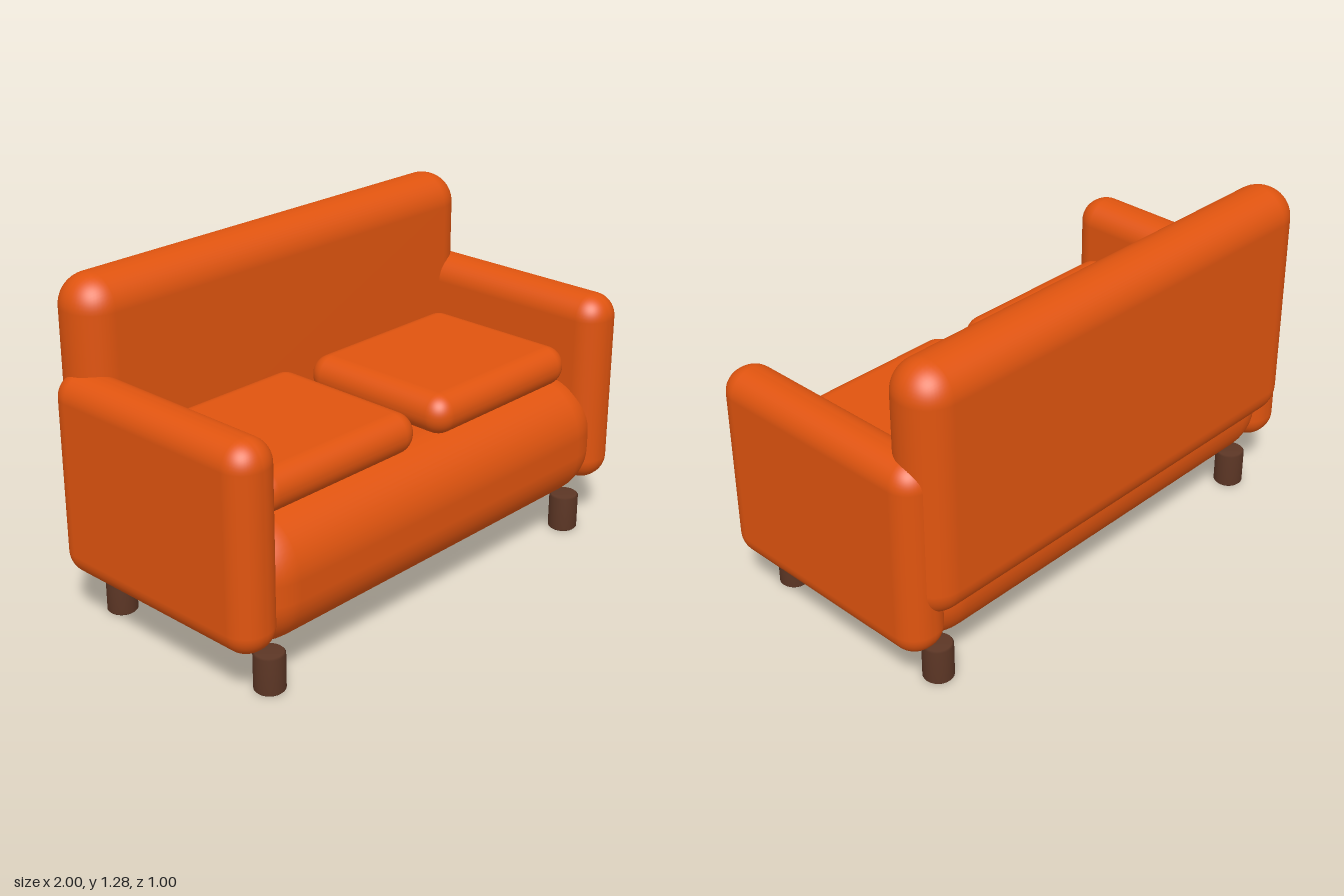
import * as THREE from 'three';
import { RoundedBoxGeometry } from 'three/addons/geometries/RoundedBoxGeometry.js';

export function createModel() {
  const sofa = new THREE.Group();
  sofa.name = 'sofa';

  const fabric = new THREE.MeshStandardMaterial({ color: 0xe0540f });
  fabric.name = 'orange fabric';
  const wood = new THREE.MeshStandardMaterial({ color: 0x5c3625 });
  wood.name = 'dark wood';

  // Upholstered block given by its extents along each axis
  function pad(name, [x0, x1], [y0, y1], [z0, z1], radius) {
    const geometry = new RoundedBoxGeometry(x1 - x0, y1 - y0, z1 - z0, 6, radius);
    const mesh = new THREE.Mesh(geometry, fabric);
    mesh.name = name;
    mesh.position.set((x0 + x1) / 2, (y0 + y1) / 2, (z0 + z1) / 2);
    sofa.add(mesh);
  }

  pad('seatBase', [-0.95, 0.95], [0.147, 0.62], [-0.45, 0.5], 0.2);
  pad('backrest', [-0.95, 0.95], [0.34, 1.285], [-0.5, -0.262], 0.117);

  // Arms and seat cushions, mirrored
  for (const [side, s] of [['left', 1], ['right', -1]]) {
    const span = (a, b) => (s > 0 ? [a, b] : [-b, -a]);
    pad(side + 'Arm', span(0.81, 1), [0.197, 0.953], [-0.45, 0.5], 0.09);
    pad(side + 'Cushion', span(0.05, 0.81), [0.607, 0.76], [-0.27, 0.4], 0.075);
  }

  // Legs: short round posts with slightly eased edges
  const r = 0.056, h = 0.145, e = 0.006;
  const profile = [[0, 0], [r - e, 0], [r, e], [r, h - e], [r - e, h], [0, h]]
    .map(([x, y]) => new THREE.Vector2(x, y));
  const legGeometry = new THREE.LatheGeometry(profile, 24);
  for (const [side, x] of [['left', 0.807], ['right', -0.807]]) {
    for (const [end, z] of [['Front', 0.406], ['Back', -0.356]]) {
      const leg = new THREE.Mesh(legGeometry, wood);
      leg.name = side + end + 'Leg';
      leg.position.set(x, 0, z);
      sofa.add(leg);
    }
  }

  return sofa;
}
